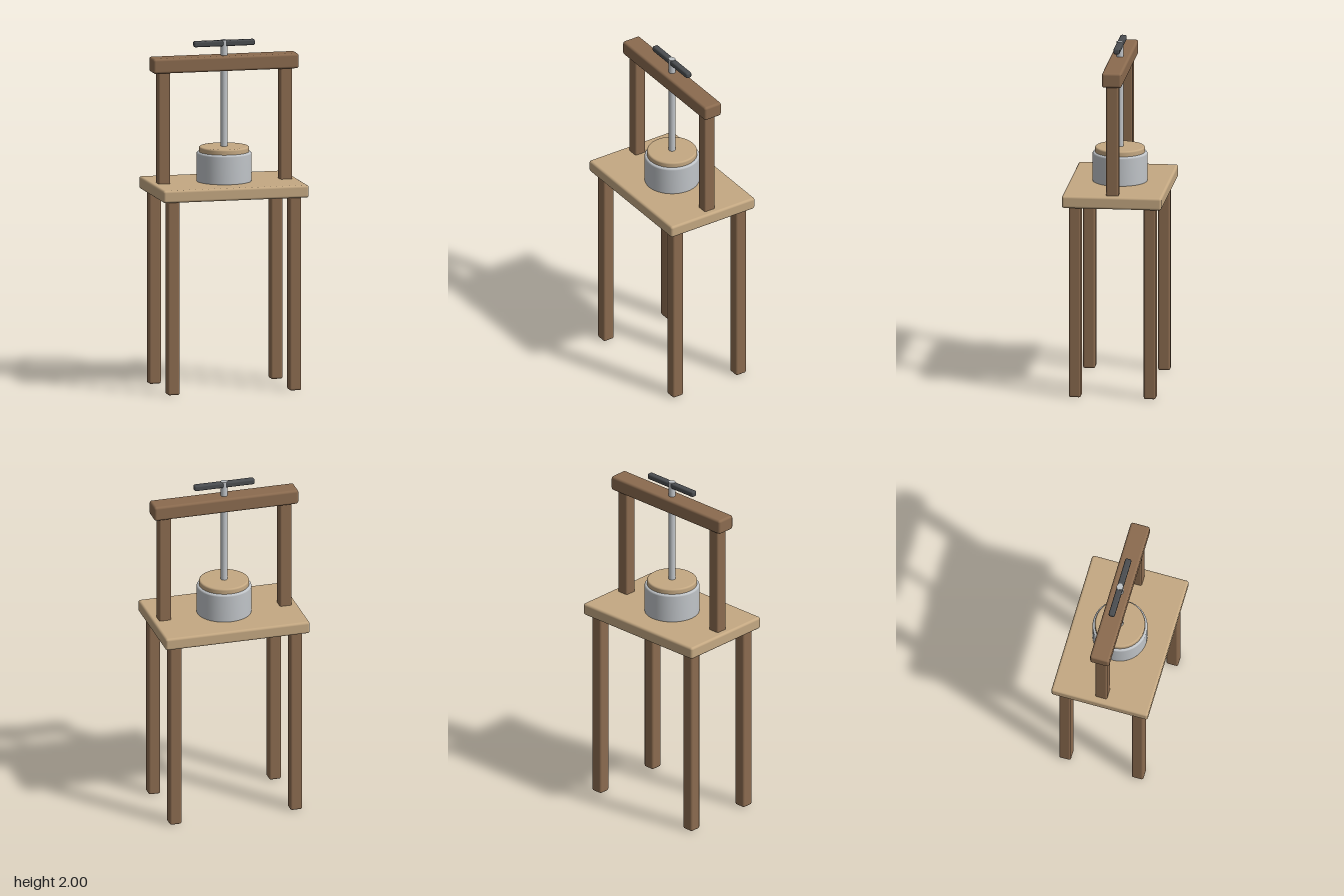
import * as THREE from 'three';
import { RoundedBoxGeometry } from 'three/addons/geometries/RoundedBoxGeometry.js';

export function createModel() {
  const model = new THREE.Group();
  model.name = 'screwPress';

  const material = (name, color) => {
    const m = new THREE.MeshStandardMaterial({ color });
    m.name = name;
    return m;
  };
  const darkWood = material('dark wood', 0x8b6b4f);
  const lightWood = material('light wood', 0xc4a882);
  const steel = material('steel', 0xc0c4c8);
  const iron = material('dark iron', 0x4a4d50);

  const add = (name, geometry, mat, x = 0, y = 0, z = 0) => {
    const mesh = new THREE.Mesh(geometry, mat);
    mesh.name = name;
    mesh.position.set(x, y, z);
    model.add(mesh);
    return mesh;
  };
  // Softened block standing between two heights
  const block = (name, mat, w, d, y0, y1, r, x = 0, z = 0) =>
    add(name, new RoundedBoxGeometry(w, y1 - y0, d, 3, r), mat, x, (y0 + y1) / 2, z);
  // Solid disc with rounded upper and lower edges
  const drum = (name, mat, radius, y0, y1, r) => {
    const points = [new THREE.Vector2(0, y0)];
    for (const [cy, start] of [[y0 + r, -Math.PI / 2], [y1 - r, 0]]) {
      for (let i = 0; i <= 4; i++) {
        const a = start + (i / 4) * (Math.PI / 2);
        points.push(new THREE.Vector2(radius - r + r * Math.cos(a), cy + r * Math.sin(a)));
      }
    }
    points.push(new THREE.Vector2(0, y1));
    return add(name, new THREE.LatheGeometry(points, 40), mat);
  };

  // Table and its four legs
  block('tableTop', lightWood, 0.856, 0.572, 1.115, 1.187, 0.014);
  for (const x of [-0.358, 0.358]) {
    for (const z of [-0.215, 0.215]) block('leg', darkWood, 0.07, 0.07, 0, 1.13, 0.012, x, z);
    // Frame post above the table
    block('upright', darkWood, 0.07, 0.07, 1.17, 1.85, 0.01, x, 0);
  }
  block('crossBeam', darkWood, 0.856, 0.114, 1.826, 1.912, 0.014);

  // Mould with its pressing lid
  drum('mould', steel, 0.157, 1.18, 1.356, 0.012);
  drum('pressingLid', lightWood, 0.143, 1.33, 1.387, 0.01);

  // Screw and turning handle
  add('screw', new THREE.CylinderGeometry(0.019, 0.019, 0.64, 24), steel, 0, 1.68, 0);
  block('handle', iron, 0.358, 0.036, 1.964, 1.998, 0.01);

  return model;
}
